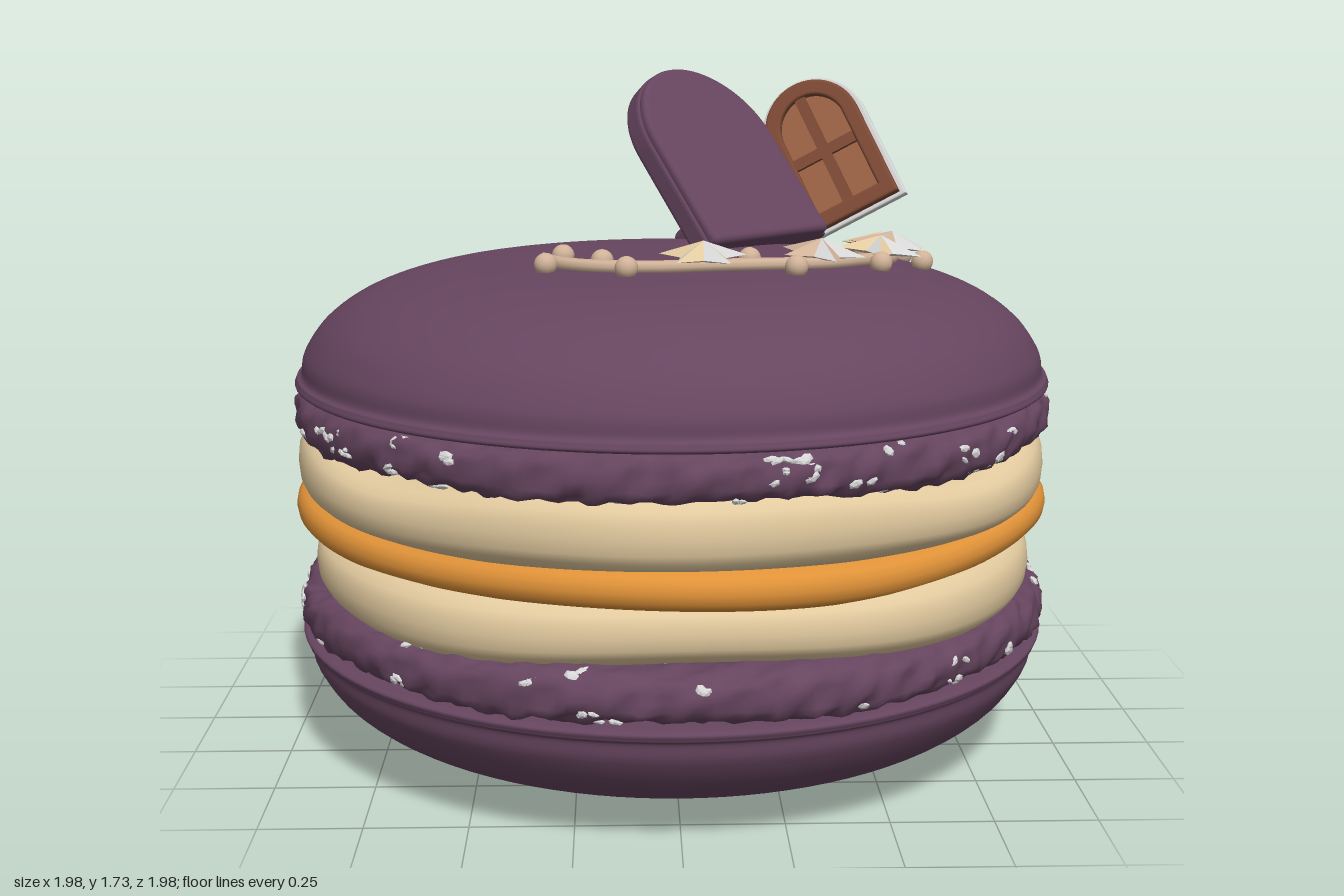
import * as THREE from 'three';
import { mergeVertices, mergeGeometries } from 'three/addons/utils/BufferGeometryUtils.js';
import { RoundedBoxGeometry } from 'three/addons/geometries/RoundedBoxGeometry.js';

const mat = (name, color) => {
  const m = new THREE.MeshStandardMaterial({ color });
  m.name = name;
  return m;
};
const plum = mat('plum', 0x66455f);
const cream = mat('cream', 0xe2ca9f);
const caramel = mat('caramel', 0xe09238);
const white = mat('white', 0xd6d6d6);
const vinePink = mat('vinePink', 0xd0b298);
const brown = mat('brown', 0x7d4a35);
const pane = mat('pane', 0x9c6345);
const { sin, cos, PI } = Math;

// upper shell outline, from the axis to the rim
const SHELL = [[0, 1.268], [0.3, 1.264], [0.5, 1.253], [0.66, 1.228], [0.8, 1.18], [0.9, 1.112],
  [0.955, 1.035], [0.965, 0.985], [0.978, 0.972], [0.965, 0.95], [0.8, 0.945]];

function shellHeight(x, z) {
  const r = Math.hypot(x, z);
  const i = Math.max(1, SHELL.findIndex((p) => p[0] > r));
  const [a, b] = [SHELL[i - 1], SHELL[i]];
  return a[1] + (b[1] - a[1]) * (r - a[0]) / (b[0] - a[0]);
}

function mesh(parent, name, geo, material, x = 0, y = 0, z = 0) {
  const m = new THREE.Mesh(geo, material);
  m.name = name;
  m.position.set(x, y, z);
  parent.add(m);
  return m;
}

function lathe(points) {
  const curve = new THREE.SplineCurve(points.map((p) => new THREE.Vector2(...p)));
  const pts = curve.getPoints(60);
  pts.forEach((p) => { p.x = Math.max(p.x, 0); });
  return new THREE.LatheGeometry(pts, 96);
}

const soft = (v) => Math.sign(v) * Math.abs(v) ** 0.75;

// soft ring: outer radius and heights are functions of the angle t (and section angle s)
function ring(outer, width, low, high, segs, sides, bump = () => 0) {
  let g = new THREE.TorusGeometry(2, 1, sides, segs).rotateX(-PI / 2);
  const p = g.attributes.position;
  for (let i = 0; i < p.count; i++) {
    const x = p.getX(i), y = p.getY(i), z = p.getZ(i);
    const t = Math.atan2(z, x), a = Math.hypot(x, z) - 2;
    const s = Math.atan2(y, a), b = bump(t, s);
    const r = outer(t) - width + width * soft(a) + b * cos(s);
    const mid = (low(t) + high(t)) / 2, half = (high(t) - low(t)) / 2;
    p.setXYZ(i, r * cos(t), mid + half * soft(y) + b * sin(s), r * sin(t));
  }
  g.deleteAttribute('uv');
  g.deleteAttribute('normal');
  g = mergeVertices(g, 1e-4);
  g.computeVertexNormals();
  return g;
}

function arch(w, h, y0 = 0, S = THREE.Shape) {
  const s = new S();
  s.moveTo(-w / 2, y0);
  s.lineTo(w / 2, y0);
  s.lineTo(w / 2, h - w / 2);
  s.absarc(0, h - w / 2, w / 2, 0, PI, false);
  s.closePath();
  return s;
}

function archRing(w, h, y0, wi, hi, yi) {
  const s = arch(w, h, y0);
  s.holes.push(arch(wi, hi, yi, THREE.Path));
  return s;
}

function slab(shape, depth, bevel = 0) {
  return new THREE.ExtrudeGeometry(shape, { depth: depth - 2 * bevel, curveSegments: 24,
    bevelEnabled: bevel > 0, bevelSize: bevel, bevelThickness: bevel, bevelOffset: -bevel,
    bevelSegments: 4 }).translate(0, 0, bevel);
}

// group whose local x and y follow the given directions
function tilted(name, origin, xDir, yDir) {
  const X = new THREE.Vector3(...xDir).normalize();
  const Z = X.clone().cross(new THREE.Vector3(...yDir)).normalize();
  const g = new THREE.Group();
  g.name = name;
  g.quaternion.setFromRotationMatrix(new THREE.Matrix4().makeBasis(X, Z.clone().cross(X), Z));
  g.position.set(...origin);
  return g;
}

// ruffled foot with clusters of sugar flakes
function addFoot(root, name, y, seed) {
  let n = seed;
  const rnd = () => (n = (n * 16807) % 2147483647) / 2147483647;
  const low = (t) => y - 0.064 + 0.008 * sin(7 * t + seed);
  const high = (t) => y + 0.062 + 0.005 * sin(9 * t + seed);
  const bump = (t, s) => 0.006 * sin(47 * t + 2 * sin(5 * t)) * cos(5 * s + 3 * sin(11 * t))
    + 0.005 * sin(71 * t + seed) * cos(3 * s + sin(9 * t)) + 0.003 * sin(29 * t + 7 * s);
  mesh(root, name, ring(() => 0.982, 0.09, low, high, 260, 24, bump), plum);
  const flakes = [];
  for (let i = 0; i < 46; i++) {
    const t = rnd() * 2 * PI, s = (rnd() - 0.5) * 2.2;
    for (let k = 0; k < 3; k++) {
      const ds = s + (rnd() - 0.5) * 0.35;
      const g = new THREE.IcosahedronGeometry(1, 0);
      g.scale(0.007, 0.006 + 0.008 * rnd(), 0.009 + 0.014 * rnd());
      g.rotateX(rnd() * 1.2 - 0.6).rotateZ(ds);
      g.translate(0.892 + 0.09 * soft(cos(ds)), y + 0.061 * soft(sin(ds)), 0);
      flakes.push(g.rotateY(-t - (rnd() - 0.5) * 0.06));
    }
  }
  mesh(root, name + 'Flakes', mergeGeometries(flakes), white);
}

// five-pointed puffed star with two-toned points
function starGeometry(R) {
  const pos = [[], []];
  const pt = (i) => {
    const r = i % 2 ? R * 0.52 : R, a = i * PI / 5;
    return [r * cos(a), 0, r * sin(a)];
  };
  for (let i = 0; i < 10; i++) {
    pos[i % 2].push(0, 0.04, 0, ...pt(i + 1), ...pt(i), 0, -0.015, 0, ...pt(i), ...pt(i + 1));
  }
  const g = new THREE.BufferGeometry();
  g.setAttribute('position', new THREE.Float32BufferAttribute([...pos[0], ...pos[1]], 3));
  g.addGroup(0, 30, 0);
  g.addGroup(30, 30, 1);
  g.computeVertexNormals();
  return g;
}

function addGarland(root) {
  const g = new THREE.Group();
  g.name = 'garland';
  root.add(g);
  const on = (x, z, lift) => new THREE.Vector3(x, shellHeight(x, z) + lift, z);
  const path = [[-0.33, 0.14], [-0.28, 0.23], [-0.18, 0.3], [-0.04, 0.325], [0.1, 0.3], [0.25, 0.26],
    [0.38, 0.21], [0.5, 0.1], [0.57, 0], [0.6, -0.12], [0.61, -0.26], [0.6, -0.38], [0.57, -0.5],
    [0.5, -0.62], [0.4, -0.695], [0.3, -0.7]].map(([x, z]) => on(x, z, 0.014));
  mesh(g, 'vine', new THREE.TubeGeometry(new THREE.CatmullRomCurve3(path), 90, 0.017, 8), vinePink);
  const beads = [[-0.28, 0.14], [-0.32, 0.27], [-0.18, 0.25], [-0.12, 0.36], [0.19, 0.22], [0.3, 0.32],
    [0.41, 0.11], [0.53, 0.16], [0.66, 0], [0.51, -0.03], [0.65, -0.3], [0.39, -0.76], [0.54, -0.65], [0.33, -0.66]];
  for (const [x, z] of beads) {
    const p = on(x, z, 0.02);
    mesh(g, 'bead', new THREE.SphereGeometry(0.029, 16, 12), vinePink, p.x, p.y, p.z);
  }
  [[0.07, 0.3], [0.37, 0.2], [0.54, 0.04], [0.6, -0.18], [0.6, -0.41]].forEach(([x, z], i) => {
    const p = on(x, z, 0.036);
    const s = mesh(g, 'star', starGeometry(0.115), [white, i % 2 ? vinePink : cream], p.x, p.y, p.z);
    s.quaternion.setFromUnitVectors(new THREE.Vector3(0, 1, 0), new THREE.Vector3(x * 0.2, 1, z * 0.2).normalize());
    s.rotateY(i * 0.9 + 0.3);
  });
}

// leaning arched doorway with glowing pane and prop
function addDoorway(root) {
  const g = tilted('doorway', [0.263, 1.255, -0.275], [0.705, 0, -0.709], [-0.456, 0.766, -0.453]);
  root.add(g);
  mesh(g, 'doorFrame', slab(archRing(0.49, 0.59, 0, 0.36, 0.525, 0.05), 0.07, 0.015), plum, 0, 0, -0.035);
  mesh(g, 'frameMoulding', slab(archRing(0.48, 0.585, 0.01, 0.41, 0.55, 0.04), 0.035, 0.015), plum, 0, 0, 0.02);
  mesh(g, 'sill', new RoundedBoxGeometry(0.48, 0.045, 0.09, 3, 0.018), plum, 0, 0.0225, 0.015);
  mesh(g, 'sillStep', new RoundedBoxGeometry(0.42, 0.035, 0.06, 3, 0.014), plum, 0, 0.055, 0.015);
  mesh(g, 'glowPane', slab(arch(0.37, 0.53, 0.04), 0.03), caramel, 0, 0, -0.02);
  mesh(g, 'paneRim', slab(archRing(0.36, 0.525, 0.05, 0.325, 0.5075, 0.07), 0.014), caramel, 0, 0, 0.01);
  const blob = (x, y, rx, ry, rot = 0) => new THREE.Shape().absellipse(x, y, rx, ry, 0, 2 * PI, false, rot);
  const base = new THREE.Shape([[-0.09, 0.07], [0.09, 0.07], [0.09, 0.12], [-0.09, 0.12]].map((p) => new THREE.Vector2(...p)));
  const bunny = [base, blob(0, 0.135, 0.09, 0.065), blob(-0.045, 0.235, 0.034, 0.078, 0.15), blob(0.045, 0.235, 0.034, 0.078, -0.15)];
  mesh(g, 'rabbitShadow', slab(bunny, 0.005), cream, 0, 0, 0.01);
  mesh(g, 'prop', new RoundedBoxGeometry(0.065, 0.05, 0.24, 3, 0.02), plum, 0, 0.19, -0.125);
}

// open door leaf: white back, brown window front
function addLeaf(root) {
  const g = tilted('doorLeaf', [0.548, 1.312, -0.465], [0.84, 0.46, 0.13], [-0.41, 0.82, -0.42]);
  root.add(g);
  mesh(g, 'leafBack', slab(arch(0.31, 0.45), 0.03, 0.006), white, 0, 0, -0.015);
  mesh(g, 'leafFrame', slab(archRing(0.28, 0.435, 0.01, 0.19, 0.39, 0.055), 0.035, 0.008), brown, 0, 0, 0.015);
  mesh(g, 'leafPane', slab(arch(0.21, 0.4, 0.045), 0.012), pane, 0, 0, 0.015);
  mesh(g, 'mullion', new THREE.BoxGeometry(0.032, 0.34, 0.022), brown, 0, 0.222, 0.03);
  mesh(g, 'crossbar', new THREE.BoxGeometry(0.2, 0.032, 0.022), brown, 0, 0.215, 0.03);
}

export function createModel() {
  const root = new THREE.Group();
  root.name = 'macaron';

  // shells
  mesh(root, 'topShell', lathe([...SHELL].reverse()), plum);
  mesh(root, 'bottomShell', lathe(SHELL.map(([r, y]) => [r, Math.max(0, 1.268 - y)])), plum);
  addFoot(root, 'topFoot', 0.89, 17);
  addFoot(root, 'bottomFoot', 0.382, 91);

  // fillings: creams swell on the diagonals, where the caramel sinks in
  mesh(root, 'lowerCream', ring((t) => 0.953 - 0.024 * cos(4 * t) + 0.006 * sin(7 * t), 0.2,
    (t) => 0.415 + 0.012 * sin(4 * t + 2), () => 0.61, 128, 28), cream);
  mesh(root, 'caramelLayer', ring((t) => 0.966 + 0.026 * cos(4 * t), 0.16,
    (t) => 0.568 + 0.012 * sin(4 * t + 1), (t) => 0.685 + 0.012 * sin(4 * t + 1.3), 128, 24), caramel);
  mesh(root, 'upperCream', ring((t) => 0.97 - 0.004 * cos(4 * t) + 0.016 * cos(t - 1.7) + 0.008 * sin(5 * t - 0.5), 0.2,
    () => 0.65, (t) => 0.858 + 0.022 * sin(4 * t + 1.6) + 0.01 * sin(7 * t), 128, 28), cream);

  addGarland(root);
  addDoorway(root);
  addLeaf(root);
  return root;
}
